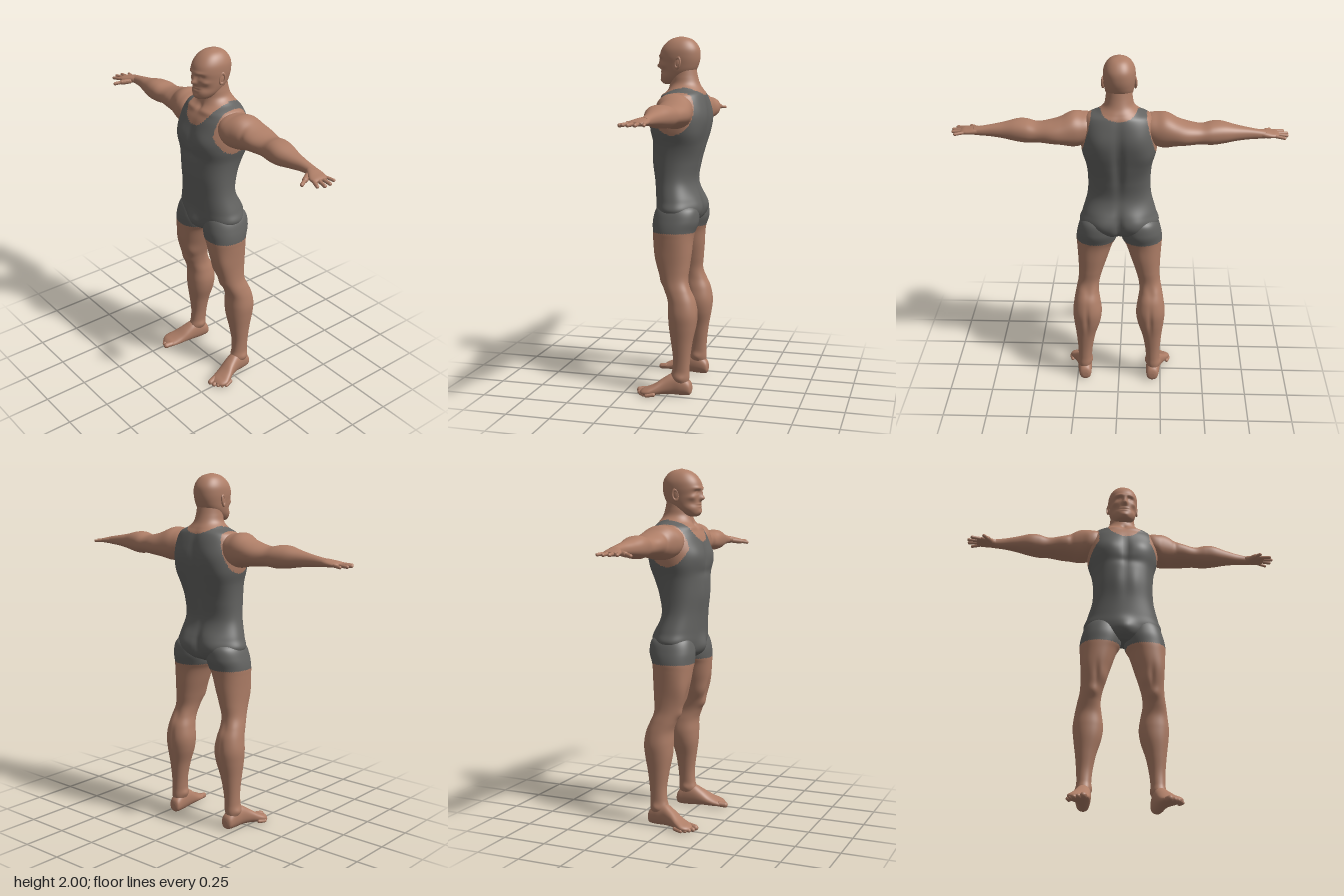
import * as THREE from 'three';

const skin = new THREE.MeshStandardMaterial({ color: 0xae7e67 });
skin.name = 'skin';
const cloth = new THREE.MeshStandardMaterial({ color: 0x636361 });
cloth.name = 'grey cloth';

const spline = (a, b, c, d, t) =>
  b + 0.5 * t * (c - a + t * (2 * a - 5 * b + 4 * c - d + t * (3 * (b - c) + d - a)));

// where each axis puts the section's p, q and the distance s along the limb
const place = {
  x: (p, q, s) => [s, q, p],
  y: (p, q, s) => [p, s, q],
  z: (p, q, s) => [q, p, s],
};

// Smooth skin over sections [s, pMin, pMax, qMin, qMax, squareness].
// bumps: [x, y, z, rx, ry, rz, height] swell or hollow the surface.
function loft(axis, rows, { seg = 48, sub = 8, bumps = [], isCloth } = {}) {
  const pos = [], rings = (rows.length - 1) * sub + 1;
  const at = (i, k) => rows[Math.min(Math.max(i, 0), rows.length - 1)][k] ?? 2.2;
  const mid = [];
  for (let r = 0; r < rings; r++) {
    const i = Math.min(Math.floor(r / sub), rows.length - 2), t = r / sub - i;
    const [s, p0, p1, q0, q1, n] = [0, 1, 2, 3, 4, 5].map(
      k => spline(at(i - 1, k), at(i, k), at(i + 1, k), at(i + 2, k), t));
    for (let j = 0; j < seg; j++) {
      const a = j / seg * Math.PI * 2, c = Math.cos(a), d = Math.sin(a);
      const p = (p0 + p1) / 2 + (p1 - p0) / 2 * Math.sign(c) * Math.abs(c) ** (2 / n);
      const q = (q0 + q1) / 2 + (q1 - q0) / 2 * Math.sign(d) * Math.abs(d) ** (2 / n);
      pos.push(...place[axis](p, q, s));
    }
    if (r === 0 || r === rings - 1) mid.push(place[axis]((p0 + p1) / 2, (q0 + q1) / 2, s));
  }
  pos.push(...mid[0], ...mid[1]);
  const faces = [], lo = rings * seg, hi = lo + 1;
  for (let j = 0; j < seg; j++) {
    const k = (j + 1) % seg, top = (rings - 1) * seg;
    faces.push([lo, j, k], [hi, top + k, top + j]);
    for (let r = 0; r < rings - 1; r++) {
      const a = r * seg + j, b = r * seg + k;
      faces.push([a, a + seg, b], [b, a + seg, b + seg]);
    }
  }
  const geo = new THREE.BufferGeometry();
  const attr = new THREE.Float32BufferAttribute(pos, 3);
  geo.setAttribute('position', attr);
  geo.setIndex(faces.flat());
  geo.computeVertexNormals();
  const nor = geo.attributes.normal;
  for (let v = 0; v < attr.count; v++) {
    const x = attr.getX(v), y = attr.getY(v), z = attr.getZ(v);
    let h = 0;
    for (const [bx, by, bz, rx, ry, rz, amt] of bumps)
      h += amt * Math.exp(-(((Math.abs(x) - bx) / rx) ** 2) - ((y - by) / ry) ** 2 - ((z - bz) / rz) ** 2);
    attr.setXYZ(v, x + nor.getX(v) * h, y + nor.getY(v) * h, z + nor.getZ(v) * h);
  }
  if (isCloth) {
    const sets = [[], []];
    for (const f of faces) {
      const c = [0, 1, 2].map(k => f.reduce((sum, v) => sum + attr.array[v * 3 + k], 0) / 3);
      sets[isCloth(...c) ? 1 : 0].push(f);
    }
    geo.setIndex(sets.flat(2));
    geo.addGroup(0, sets[0].length * 3, 0);
    geo.addGroup(sets[0].length * 3, sets[1].length * 3, 1);
  }
  geo.computeVertexNormals();
  return geo;
}

// Rounded digit between two points
function digit(a, b, r, flat = 1) {
  const A = new THREE.Vector3(...a), B = new THREE.Vector3(...b), dir = B.clone().sub(A);
  const geo = new THREE.CapsuleGeometry(r, Math.max(dir.length() - r, 0.001), 5, 12);
  geo.applyQuaternion(new THREE.Quaternion().setFromUnitVectors(new THREE.Vector3(0, 1, 0), dir.normalize()));
  const m = A.add(B).multiplyScalar(0.5);
  return geo.scale(1, flat, 1).translate(m.x, m.y, m.z);
}

function mirrored(geo) {
  const g = geo.clone().scale(-1, 1, 1), ix = g.index;
  for (let i = 0; i < ix.count; i += 3) {
    const b = ix.getX(i + 1);
    ix.setX(i + 1, ix.getX(i + 2));
    ix.setX(i + 2, b);
  }
  g.computeVertexNormals();
  return g;
}

export function createModel() {
  const model = new THREE.Group();
  model.name = 'athlete';
  const add = (name, geo, mat = skin) => {
    const m = new THREE.Mesh(geo, mat);
    m.name = name;
    model.add(m);
  };
  const pair = (name, geo, mat) => {
    add('left' + name, geo, mat);
    add('right' + name, mirrored(geo), mat);
  };

  // Torso and neck, with the singlet's neckline and armholes
  const singlet = (x, y, z) => {
    const ax = Math.abs(x), drop = z > -0.05 ? 0.155 : 0.075;
    const neck = y > 1.75 || (ax / 0.112) ** 2 + ((y - 1.755) / drop) ** 2 < 1;
    const hole = ax > 0.15 && ((z + 0.02) / 0.115) ** 2 + ((y - 1.6) / 0.135) ** 2 < 1;
    return !neck && !hole && !(ax > 0.172 && y > 1.58);
  };
  add('torso', loft('y', [
    [0.955, -0.06, 0.06, -0.07, 0.07],
    [0.985, -0.16, 0.16, -0.125, 0.095],
    [1.04, -0.222, 0.222, -0.145, 0.105],
    [1.1, -0.207, 0.207, -0.14, 0.11],
    [1.2, -0.179, 0.179, -0.115, 0.118],
    [1.3, -0.174, 0.174, -0.13, 0.128, 2.3],
    [1.4, -0.182, 0.182, -0.155, 0.13, 2.4],
    [1.48, -0.203, 0.203, -0.172, 0.13, 2.5],
    [1.56, -0.21, 0.21, -0.178, 0.12, 2.5],
    [1.63, -0.2, 0.2, -0.172, 0.1, 2.4],
    [1.68, -0.175, 0.175, -0.16, 0.07, 2.2],
    [1.71, -0.118, 0.118, -0.145, 0.05, 2],
    [1.74, -0.083, 0.083, -0.128, 0.042, 2],
    [1.78, -0.073, 0.073, -0.115, 0.04, 2],
    [1.83, -0.068, 0.068, -0.105, 0.03, 2],
  ], { seg: 120, sub: 10, isCloth: singlet, bumps: [
    [0.09, 1.52, 0.13, 0.075, 0.06, 0.08, 0.016],   // chest
    [0, 1.5, 0.13, 0.018, 0.09, 0.06, -0.008],      // breastbone
    [0, 1.43, 0.13, 0.09, 0.025, 0.05, -0.006],     // under the chest
    [0.05, 1.3, 0.13, 0.035, 0.09, 0.05, 0.005],    // belly
    [0, 1.4, -0.16, 0.025, 0.22, 0.06, -0.016],     // spine
    [0.1, 1.56, -0.17, 0.07, 0.08, 0.06, 0.012],    // shoulder blade
    [0.15, 1.45, -0.12, 0.06, 0.09, 0.08, 0.01],    // side of the back
    [0.09, 1.05, -0.14, 0.07, 0.07, 0.07, 0.022],   // seat
    [0, 1.04, -0.14, 0.02, 0.07, 0.06, -0.015],
    [0, 1.015, 0.1, 0.05, 0.045, 0.06, 0.024],
    [0, 1.69, 0.05, 0.015, 0.02, 0.03, -0.01],      // throat notch
    [0.07, 1.675, 0.08, 0.06, 0.014, 0.05, 0.008],  // collarbone
  ] }), [skin, cloth]);

  // Head and face
  add('head', loft('y', [
    [1.738, -0.022, 0.022, 0.025, 0.07],
    [1.748, -0.046, 0.046, -0.01, 0.087],
    [1.775, -0.066, 0.066, -0.055, 0.094],
    [1.81, -0.077, 0.077, -0.1, 0.092],
    [1.85, -0.083, 0.083, -0.12, 0.094],
    [1.89, -0.087, 0.087, -0.128, 0.1],
    [1.93, -0.084, 0.084, -0.125, 0.09],
    [1.965, -0.068, 0.068, -0.105, 0.064],
    [1.988, -0.043, 0.043, -0.075, 0.03],
    [2, -0.006, 0.006, -0.027, -0.013],
  ], { seg: 96, bumps: [
    [0, 1.838, 0.097, 0.014, 0.014, 0.04, 0.022],   // nose tip
    [0, 1.86, 0.097, 0.01, 0.022, 0.04, 0.012],     // nose bridge
    [0.034, 1.872, 0.08, 0.02, 0.012, 0.04, -0.012],// eye socket
    [0.034, 1.87, 0.08, 0.009, 0.006, 0.04, 0.005], // eye
    [0.028, 1.892, 0.09, 0.028, 0.009, 0.04, 0.006],// brow
    [0.055, 1.842, 0.06, 0.016, 0.014, 0.04, 0.006],// cheekbone
    [0.052, 1.81, 0.06, 0.018, 0.018, 0.04, -0.005],
    [0, 1.805, 0.094, 0.024, 0.005, 0.03, 0.005],   // lips
    [0, 1.799, 0.094, 0.026, 0.003, 0.03, -0.005],
    [0, 1.792, 0.094, 0.02, 0.005, 0.03, 0.004],
    [0, 1.762, 0.094, 0.02, 0.012, 0.03, 0.006],    // chin
  ] }));
  const ear = new THREE.TorusGeometry(0.019, 0.006, 10, 24).scale(0.8, 1.45, 1)
    .rotateY(Math.PI / 2 - 0.3).rotateX(-0.15).translate(0.086, 1.855, -0.022);
  pair('Ear', ear);
  pair('InnerEar', new THREE.SphereGeometry(0.017, 16, 12).scale(0.3, 1.5, 0.9).translate(0.083, 1.855, -0.02));

  // Arms: z and y limits along x
  pair('Arm', loft('x', [
    [0.12, -0.1, 0.03, 1.58, 1.65],
    [0.16, -0.125, 0.065, 1.535, 1.68],
    [0.205, -0.14, 0.07, 1.51, 1.685],
    [0.25, -0.148, 0.055, 1.505, 1.687],
    [0.31, -0.15, 0.035, 1.518, 1.665],
    [0.37, -0.147, 0.024, 1.525, 1.648],
    [0.44, -0.135, 0.016, 1.53, 1.636],
    [0.5, -0.13, 0.022, 1.525, 1.645],
    [0.56, -0.117, 0.023, 1.53, 1.643],
    [0.63, -0.095, 0.005, 1.542, 1.627],
    [0.7, -0.08, -0.014, 1.551, 1.614],
    [0.76, -0.074, -0.019, 1.555, 1.604],
    [0.79, -0.073, -0.01, 1.557, 1.599],
  ], { bumps: [
    [0.25, 1.66, -0.03, 0.06, 0.05, 0.07, 0.008],   // shoulder cap
    [0.36, 1.6, 0.03, 0.05, 0.04, 0.04, 0.008],     // upper arm front
    [0.34, 1.58, -0.15, 0.06, 0.05, 0.04, 0.007],   // upper arm back
    [0.31, 1.62, 0.04, 0.015, 0.05, 0.05, -0.005],
    [0.52, 1.63, 0.0, 0.05, 0.04, 0.05, 0.005],     // forearm
  ] }));

  // Hands
  pair('Palm', loft('x', [
    [0.75, -0.07, -0.02, 1.56, 1.602],
    [0.785, -0.076, 0.002, 1.557, 1.599],
    [0.82, -0.076, 0.022, 1.557, 1.592],
    [0.845, -0.07, 0.023, 1.558, 1.587],
    [0.862, -0.056, 0.012, 1.563, 1.58],
  ], { seg: 32, sub: 6 }));
  const fingers = [
    [[0.835, 0.013], [0.893, 0.034], 0.0095],
    [[0.84, -0.012], [0.912, 0.001], 0.0095],
    [[0.84, -0.036], [0.91, -0.036], 0.0095],
    [[0.83, -0.06], [0.893, -0.077], 0.0085],
  ];
  for (const [[x, z], [tx, tz], r] of fingers) pair('Finger', digit([x, 1.573, z], [tx, 1.567, tz], r));
  pair('ThumbBase', digit([0.775, 1.573, -0.015], [0.805, 1.566, 0.038], 0.015));
  pair('Thumb', digit([0.803, 1.567, 0.035], [0.823, 1.56, 0.074], 0.01));

  // Legs, clothed above the hem
  pair('Leg', loft('y', [
    [0.05, 0.18, 0.235, -0.11, -0.04],
    [0.1, 0.165, 0.246, -0.122, -0.015],
    [0.15, 0.163, 0.243, -0.122, -0.025],
    [0.22, 0.156, 0.245, -0.126, -0.028],
    [0.31, 0.138, 0.253, -0.138, -0.016],
    [0.4, 0.11, 0.264, -0.156, -0.002],
    [0.47, 0.101, 0.269, -0.162, 0.002],
    [0.54, 0.11, 0.261, -0.15, 0.004],
    [0.6, 0.119, 0.25, -0.128, 0.024],
    [0.66, 0.112, 0.238, -0.107, 0.047],
    [0.73, 0.092, 0.235, -0.112, 0.07],
    [0.81, 0.065, 0.238, -0.12, 0.09],
    [0.89, 0.038, 0.243, -0.125, 0.1],
    [0.935, 0.014, 0.245, -0.132, 0.104],
    [0.99, 0.008, 0.236, -0.15, 0.105],
    [1.05, 0.02, 0.215, -0.145, 0.09],
    [1.09, 0.06, 0.17, -0.1, 0.06],
  ], { seg: 64, isCloth: (x, y) => y > 0.926, bumps: [
    [0.17, 0.645, 0.045, 0.03, 0.03, 0.04, 0.01],   // kneecap
    [0.12, 0.73, 0.04, 0.03, 0.05, 0.05, 0.009],    // inner thigh
    [0.21, 0.78, 0.06, 0.03, 0.08, 0.05, 0.007],    // outer thigh
    [0.155, 0.74, 0.07, 0.014, 0.06, 0.05, -0.007],
    [0.18, 0.61, -0.12, 0.03, 0.04, 0.04, -0.008],  // back of the knee
    [0.185, 0.43, -0.16, 0.012, 0.08, 0.05, -0.009],// calf groove
    [0.17, 0.115, -0.07, 0.03, 0.02, 0.025, 0.007], // ankle bones
    [0.245, 0.105, -0.075, 0.03, 0.02, 0.025, 0.007],
    [0.13, 0.95, -0.14, 0.06, 0.05, 0.05, 0.006],
  ] }), [skin, cloth]);

  // Feet: y and x limits along z, turned outward
  pair('Foot', loft('z', [
    [-0.136, 0.025, 0.055, 0.185, 0.215],
    [-0.125, 0.006, 0.085, 0.168, 0.236],
    [-0.08, 0.002, 0.12, 0.165, 0.246],
    [-0.03, 0.004, 0.127, 0.167, 0.252],
    [0.02, 0.005, 0.1, 0.173, 0.268],
    [0.065, 0.003, 0.068, 0.182, 0.292],
    [0.1, 0.002, 0.05, 0.19, 0.306],
    [0.13, 0.003, 0.038, 0.2, 0.298],
    [0.148, 0.008, 0.026, 0.215, 0.275],
  ], { seg: 40, sub: 6 }));
  const toes = [[0.216, 0.228, 0.17, 0.0165], [0.242, 0.253, 0.163, 0.0125], [0.262, 0.274, 0.148, 0.012],
    [0.278, 0.29, 0.13, 0.0115], [0.29, 0.302, 0.108, 0.011]];
  for (const [x, tx, z, r] of toes)
    pair('Toe', digit([x, r + 0.006, z - 0.05], [tx, r, z], r));

  return model;
}
